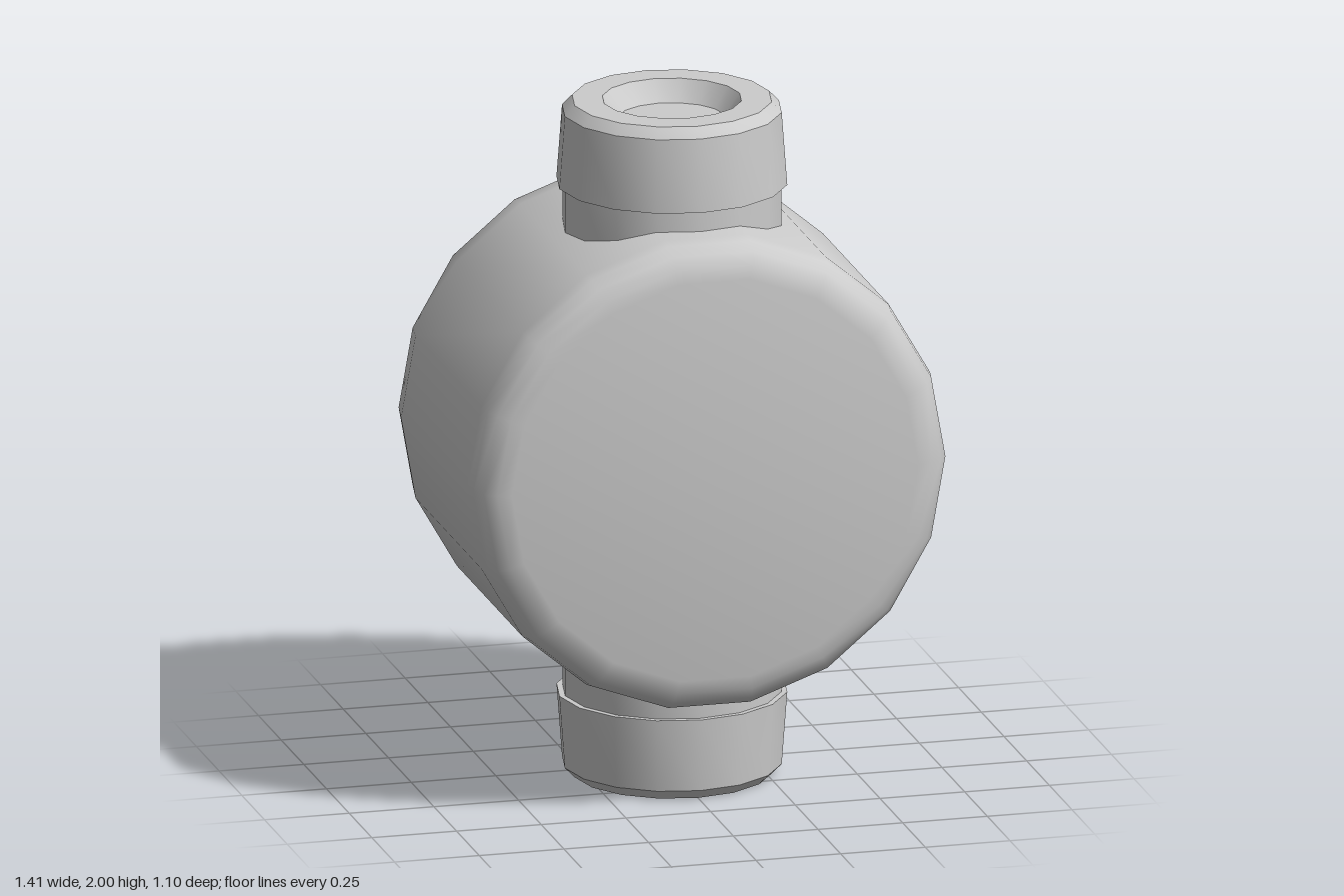
import * as THREE from 'three';
import { toCreasedNormals } from 'three/addons/utils/BufferGeometryUtils.js';

const material = new THREE.MeshStandardMaterial({ color: 0xcccccc });

// Lathe a profile of [radius, height] pairs, with a corner on the x axis
function turned(name, profile, sides) {
  const points = profile.map(([r, h]) => new THREE.Vector2(r, h));
  const geometry = new THREE.LatheGeometry(points, sides, Math.PI / 2);
  const mesh = new THREE.Mesh(toCreasedNormals(geometry, 0.6), material);
  mesh.name = name;
  return mesh;
}

// Quarter-round edge from angle a0 to a1 (degrees) about [r, h]
function fillet(r, h, radius, a0, a1, steps = 4) {
  return Array.from({ length: steps + 1 }, (_, i) => {
    const a = THREE.MathUtils.degToRad(a0 + (a1 - a0) * i / steps);
    return [r + radius * Math.cos(a), h + radius * Math.sin(a)];
  });
}

export function createModel() {
  const group = new THREE.Group();
  group.name = 'pipeFitting';

  // Drum: recessed back, large back rounding, small front rounding
  const body = turned('body', [
    [0, -0.45], [0.42, -0.45],
    ...fillet(0.435, -0.28, 0.27, -90, 0),
    ...fillet(0.6, 0.445, 0.105, 0, 90),
    [0, 0.55],
  ], 18);
  body.rotation.x = Math.PI / 2;
  body.position.y = 1;
  group.add(body);

  // Matching ports above and below: neck, tapered collar and shallow socket
  const portProfile = [
    [0.315, 0.5], [0.315, 0.755], [0.332, 0.755], [0.316, 0.97],
    [0.287, 1], [0.2, 1], [0.155, 0.94], [0, 0.94],
  ];
  for (const [name, angle] of [['topPort', 0], ['bottomPort', Math.PI]]) {
    const port = turned(name, portProfile, 16);
    port.rotation.x = angle;
    port.position.set(0, 1, 0.073);
    group.add(port);
  }
  return group;
}
